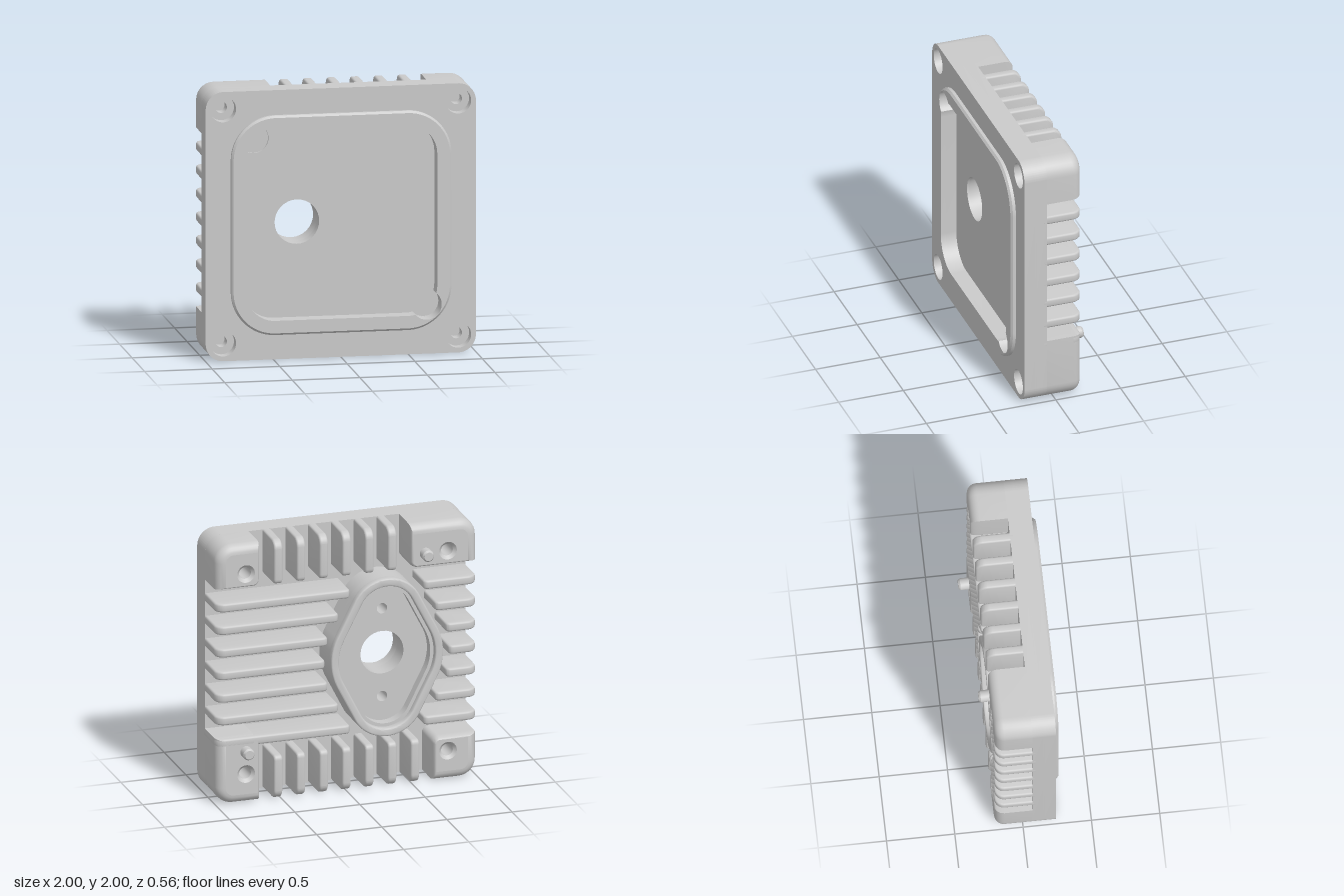
import * as THREE from 'three';
import { toCreasedNormals } from 'three/addons/utils/BufferGeometryUtils.js';

const PITCH = 0.175, FIN = 0.065, BACK = -0.205, FLOOR = 0.068;
const BOSS_X = -0.31, SCREW = 0.87, SOCKET = 0.775;

// Rounded square centred on the origin
function roundedSquare(h, r) {
  const s = new THREE.Shape(), c = h - r;
  [[c, c], [-c, c], [-c, -c], [c, -c]].forEach(([x, y], i) =>
    s.absarc(x, y, r, i * Math.PI / 2, (i + 1) * Math.PI / 2, false));
  s.closePath();
  return s;
}

function circle(x, y, r) {
  return new THREE.Shape().absarc(x, y, r, 0, Math.PI * 2, false);
}

// Square pocket with round reliefs in two opposite corners
function pocketOutline() {
  const s = new THREE.Shape(), c = 0.49, R = 0.217, k = 0.63, r = 0.11;
  const D = (k - c) * Math.SQRT2;
  const a = Math.acos((D * D + R * R - r * r) / (2 * D * R));
  const b = Math.acos((D * D + r * r - R * R) / (2 * D * r));
  [[1, 1], [-1, 1], [-1, -1], [1, -1]].forEach(([x, y], i) => {
    const t = i * Math.PI / 2, m = t + Math.PI / 4;
    if (x * y > 0) s.absarc(x * c, y * c, R, t, t + Math.PI / 2, false);
    else {
      s.absarc(x * c, y * c, R, t, m - a, false);
      s.absarc(x * k, y * k, r, m - b, m + b, false);
      s.absarc(x * c, y * c, R, m + a, t + Math.PI / 2, false);
    }
  });
  s.closePath();
  return s;
}

// Tall flange outline: a large circle joined by tangents to two small ones
function flange(R, r, d = 0.33) {
  const s = new THREE.Shape(), t = Math.acos((R - r) / d), q = Math.PI / 2;
  s.absarc(BOSS_X, 0, R, t - q, q - t, false);
  s.absarc(BOSS_X, d, r, q - t, q + t, false);
  s.absarc(BOSS_X, 0, R, q + t, 3 * q - t, false);
  s.absarc(BOSS_X, -d, r, 3 * q - t, 3 * q + t, false);
  s.closePath();
  return s;
}

function slab(shape, holes, z0, z1, bevel = 0) {
  const s = shape.clone();
  s.holes = holes;
  const g = new THREE.ExtrudeGeometry(s, {
    depth: z1 - z0 - 2 * bevel, curveSegments: 16, bevelEnabled: bevel > 0,
    bevelSize: bevel, bevelThickness: bevel, bevelOffset: -bevel, bevelSegments: 3,
  });
  g.translate(0, 0, z0 + bevel);
  return toCreasedNormals(g, 0.6);
}

// Wall through matching counter-clockwise loops, ordered by rising z
function loft(sections) {
  const p = [];
  for (let j = 0; j + 1 < sections.length; j++) {
    const A = sections[j], B = sections[j + 1], n = A.pts.length;
    for (let i = 0; i < n; i++) {
      const k = (i + 1) % n;
      const a = [A.pts[i].x, A.pts[i].y, A.z], b = [A.pts[k].x, A.pts[k].y, A.z];
      const c = [B.pts[k].x, B.pts[k].y, B.z], d = [B.pts[i].x, B.pts[i].y, B.z];
      p.push(...a, ...b, ...c, ...a, ...c, ...d);
    }
  }
  const g = new THREE.BufferGeometry();
  g.setAttribute('position', new THREE.Float32BufferAttribute(p, 3));
  return toCreasedNormals(g, 0.6);
}

// Corner block section: outer edges inset by o, slot edges inset by i
function blockSection(sx, sy, xi, yi, o, i) {
  const pts = [], arc = (cx, cy, r, t0) => {
    for (let k = 0; k <= 8; k++) {
      const t = t0 + k / 8 * Math.PI / 2;
      pts.push(new THREE.Vector2(sx * (cx + r * Math.cos(t)), sy * (cy + r * Math.sin(t))));
    }
  };
  arc(xi + 0.05, yi + 0.05, 0.05 - i, Math.PI);
  pts.push(new THREE.Vector2(sx * (1 - o), sy * (yi + i)));
  arc(0.87, 0.87, 0.13 - o, 0);
  pts.push(new THREE.Vector2(sx * (xi + i), sy * (1 - o)));
  return sx * sy < 0 ? pts.reverse() : pts;
}

// Fin running along dir from a to the outer edge, with a rounded back corner
function fin(dir, centre, a) {
  const s = new THREE.Shape();
  s.moveTo(a, 0.09);
  s.lineTo(a, BACK + 0.04);
  s.quadraticCurveTo(a, BACK, a + 0.04, BACK);
  s.lineTo(0.93, BACK);
  s.absarc(0.93, BACK + 0.07, 0.07, -Math.PI / 2, 0, false);
  s.lineTo(1, 0.09);
  const g = slab(s, [], -FIN / 2, FIN / 2, 0.015);
  const z = new THREE.Vector3(0, 0, 1);
  g.applyMatrix4(new THREE.Matrix4().makeBasis(dir, z, dir.clone().cross(z)).setPosition(centre));
  return g;
}

export function createModel() {
  const model = new THREE.Group();
  model.name = 'finnedHousing';
  const body = new THREE.Group();
  body.name = 'body';
  body.position.y = 1;
  model.add(body);
  const metal = new THREE.MeshStandardMaterial({ color: 0xcacaca, side: THREE.DoubleSide });
  metal.name = 'grey metal';
  const add = (name, g) => {
    const m = new THREE.Mesh(g, metal);
    m.name = name;
    body.add(m);
    return m;
  };

  // Front frame, pocket floor with shallow corner reliefs, and base plate
  const corners = [[1, 1], [-1, 1], [-1, -1], [1, -1]];
  const screws = r => corners.map(([x, y]) => circle(x * SCREW, y * SCREW, r));
  const plate = roundedSquare(1, 0.13), bore = circle(BOSS_X, 0, 0.165);
  add('frontFrame', slab(plate, [pocketOutline(), ...screws(0.095)], 0.16, 0.242));
  add('pocketFloor', slab(plate, [bore, ...screws(0.042),
    circle(-0.63, 0.63, 0.11), circle(0.63, -0.63, 0.11)], 0.145, 0.16));
  add('basePlate', slab(plate, [bore, ...screws(0.042)], FLOOR, 0.145));

  // Raised sealing lip with chamfered outer edge
  const lip = (h, z) => ({ z, pts: roundedSquare(h, h - 0.49).getPoints(12) });
  add('lipWall', loft([lip(0.815, 0.24), lip(0.815, 0.265), lip(0.8, 0.28)]));
  add('lip', slab(roundedSquare(0.8, 0.31), [pocketOutline()], 0.24, 0.28));

  // Corner blocks with countersunk sockets; two are enlarged to carry pins
  for (const [sx, sy] of corners) {
    const xi = sx < 0 && sy > 0 ? 0.49 : 0.665, yi = sx > 0 && sy < 0 ? 0.49 : 0.665;
    const sections = [];
    for (let j = 0; j <= 6; j++) {
      const t = j / 6 * Math.PI / 2, k = 1 - Math.sin(t);
      sections.push({ z: BACK + 0.07 * (1 - Math.cos(t)),
        pts: blockSection(sx, sy, xi, yi, 0.07 * k, 0.02 * k) });
    }
    sections.push({ z: FLOOR, pts: blockSection(sx, sy, xi, yi, 0, 0) });
    add('cornerBlockWall', loft(sections));
    const core = new THREE.Shape(sections[0].pts);
    const hole = r => [circle(sx * SOCKET, sy * SOCKET, r)];
    add('cornerBlockBack', slab(core, hole(0.068), BACK, BACK + 0.025));
    add('cornerBlockCore', slab(core, hole(0.045), BACK + 0.025, FLOOR));
    const cone = new THREE.CylinderGeometry(0.068, 0.045, 0.025, 32, 1, true);
    cone.rotateX(-Math.PI / 2);
    add('socketCountersink', cone).position.set(sx * SOCKET, sy * SOCKET, BACK + 0.0125);
  }

  // Locating pins
  for (const [x, y] of [[-0.602, SOCKET], [SOCKET, -0.602]]) {
    const profile = [[0, 0], [0.044, 0], [0.044, 0.085], [0.033, 0.1], [0, 0.1]];
    const g = new THREE.LatheGeometry(profile.map(p => new THREE.Vector2(...p)), 24);
    g.rotateX(-Math.PI / 2);
    add('locatingPin', toCreasedNormals(g, 0.6)).position.set(x, y, BACK + 0.02);
  }

  // Recessed flange seat around the bore
  const outer = flange(0.43, 0.28);
  add('flangeRim', slab(outer, [flange(0.37, 0.22)], BACK, -0.14, 0.012));
  add('flangeLedge', slab(outer, [flange(0.345, 0.195)], -0.155, -0.08));
  add('flangeFloor', slab(outer, [bore, circle(BOSS_X, 0.34, 0.04),
    circle(BOSS_X, -0.34, 0.04)], -0.08, FLOOR));

  // Horizontal fins, stopped short of the flange seat
  const rim = outer.getSpacedPoints(200);
  for (let k = 0; k < 7; k++) {
    const y = (k - 3) * PITCH;
    const near = rim.filter(p => Math.abs(p.y - y) < FIN / 2 + 0.02);
    const w = Math.max(0, ...near.map(p => Math.abs(p.x - BOSS_X))) + 0.045;
    for (const s of [1, -1])
      add('sideFin', fin(new THREE.Vector3(s, 0, 0), new THREE.Vector3(0, y, 0), s * BOSS_X + w));
  }

  // Short vertical fins along the top and bottom
  for (let k = 0; k < 7; k++)
    for (const s of [1, -1]) {
      if (s > 0 && k === 0) continue;
      add(s > 0 ? 'topFin' : 'bottomFin',
        fin(new THREE.Vector3(0, s, 0), new THREE.Vector3((k - 3) * PITCH, 0, 0), 0.665));
    }
  return model;
}
